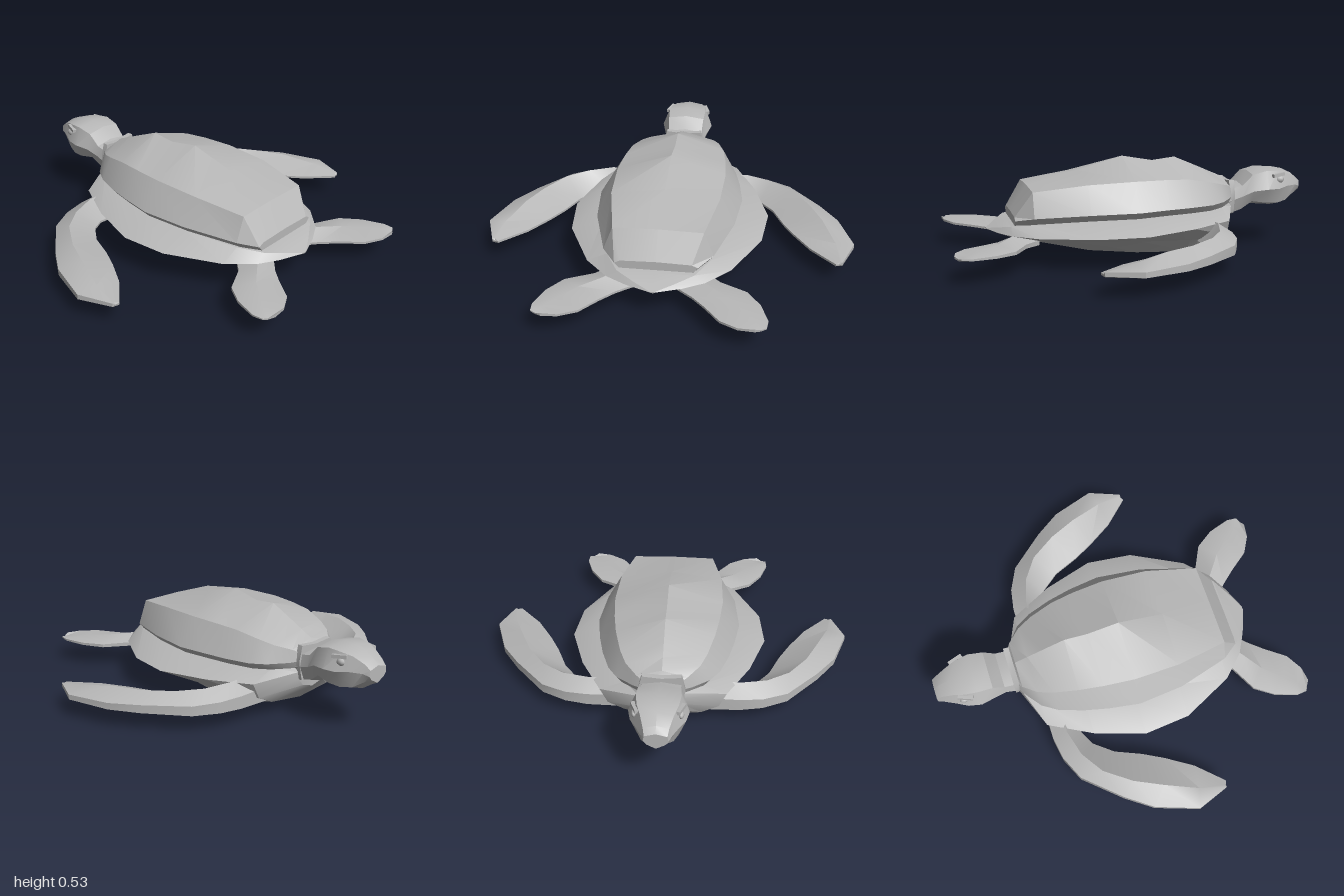
import * as THREE from 'three';
import { toCreasedNormals } from 'three/addons/utils/BufferGeometryUtils.js';

const skin = new THREE.MeshStandardMaterial({ color: 0xb8b8b8 });
skin.name = 'plain grey';

// Closed skin over a row of equal-length rings, with both ends capped.
function loft(name, rings, crease = 0.45) {
  const n = rings[0].length;
  const pos = rings.flat(2);
  const idx = [];
  for (let i = 0; i < rings.length - 1; i++) {
    for (let j = 0; j < n; j++) {
      const a = i * n + j, b = i * n + (j + 1) % n;
      idx.push(a, b, a + n, b, b + n, a + n);
    }
  }
  [0, rings.length - 1].forEach((r) => {
    const c = pos.length / 3;
    for (let k = 0; k < 3; k++) pos.push(rings[r].reduce((s, p) => s + p[k], 0) / n);
    for (let j = 0; j < n; j++) {
      const a = r * n + j, b = r * n + (j + 1) % n;
      if (r === 0) idx.push(b, a, c); else idx.push(a, b, c);
    }
  });
  // Turn the faces outward when the enclosed volume is negative.
  let volume = 0;
  const v = (i) => new THREE.Vector3().fromArray(pos, i * 3);
  for (let i = 0; i < idx.length; i += 3) volume += v(idx[i]).dot(v(idx[i + 1]).cross(v(idx[i + 2])));
  if (volume < 0) idx.reverse();
  const g = new THREE.BufferGeometry();
  g.setAttribute('position', new THREE.Float32BufferAttribute(pos, 3));
  g.setIndex(idx);
  const mesh = new THREE.Mesh(toCreasedNormals(g, crease), skin);
  mesh.name = name;
  return mesh;
}

// Full ring from the [x, y] points of one half, listed top to bottom.
function ring(z, half) {
  const other = half.filter((p) => p[0] > 0).reverse().map(([x, y]) => [-x, y]);
  return [...half, ...other].map(([x, y]) => [x, y, z]);
}

// Domed upper shell: z, spine y, ridge x, y, lip x, y
function carapace() {
  const rows = [
    [-0.575, 0.35, 0.09, 0.34, 0.11, 0.30],
    [-0.55, 0.395, 0.13, 0.36, 0.15, 0.295],
    [-0.48, 0.425, 0.19, 0.38, 0.24, 0.29],
    [-0.40, 0.46, 0.225, 0.40, 0.29, 0.285],
    [-0.27, 0.515, 0.26, 0.425, 0.335, 0.285],
    [-0.14, 0.50, 0.28, 0.43, 0.365, 0.285],
    [0.03, 0.53, 0.295, 0.43, 0.39, 0.28],
    [0.28, 0.46, 0.285, 0.42, 0.365, 0.275],
    [0.56, 0.39, 0.23, 0.385, 0.28, 0.255],
    [0.65, 0.255, 0.18, 0.25, 0.21, 0.235],
  ];
  return loft('upperShell', rows.map(([z, cy, rx, ry, lx, ly]) =>
    ring(z, [[0, cy], [rx, ry], [lx, ly], [lx - 0.03, ly - 0.035], [0, ly - 0.035]])));
}

// Flared rim and belly: z, inner x, y, rim x, y, flank x, y, keel x, y, bottom y
function lowerBody() {
  const rows = [
    [-0.57, 0.09, 0.27, 0.11, 0.24, 0.10, 0.20, 0.07, 0.16, 0.14],
    [-0.48, 0.20, 0.26, 0.33, 0.205, 0.29, 0.12, 0.20, 0.075, 0.05],
    [-0.25, 0.31, 0.25, 0.45, 0.195, 0.36, 0.12, 0.30, 0.045, 0.0],
    [0.02, 0.37, 0.245, 0.535, 0.185, 0.38, 0.13, 0.28, 0.05, 0.01],
    [0.27, 0.34, 0.24, 0.51, 0.18, 0.35, 0.13, 0.25, 0.07, 0.035],
    [0.55, 0.265, 0.22, 0.37, 0.17, 0.28, 0.145, 0.18, 0.12, 0.11],
    [0.67, 0.195, 0.205, 0.25, 0.165, 0.19, 0.15, 0.10, 0.14, 0.135],
    [0.73, 0.10, 0.185, 0.14, 0.163, 0.10, 0.155, 0.05, 0.15, 0.148],
    [0.78, 0.01, 0.167, 0.015, 0.165, 0.01, 0.163, 0.005, 0.16, 0.16],
  ];
  return loft('rimAndBelly', rows.map(([z, tx, ty, rx, ry, fx, fy, kx, ky, by]) =>
    ring(z, [[0, ty], [tx, ty], [rx, ry], [fx, fy], [kx, ky], [0, by]])));
}

// Neck and head: z, top y, crown half width, cheek half width, cheek y, bottom y
function head() {
  const rows = [
    [-0.48, 0.33, 0.10, 0.12, 0.25, 0.14],
    [-0.57, 0.35, 0.10, 0.115, 0.27, 0.17],
    [-0.64, 0.365, 0.10, 0.11, 0.29, 0.19],
    [-0.70, 0.425, 0.105, 0.13, 0.32, 0.235],
    [-0.78, 0.445, 0.11, 0.15, 0.33, 0.225],
    [-0.85, 0.44, 0.10, 0.135, 0.33, 0.22],
    [-0.91, 0.428, 0.08, 0.105, 0.34, 0.23],
    [-0.97, 0.40, 0.062, 0.075, 0.34, 0.27],
    [-1.0, 0.375, 0.055, 0.06, 0.33, 0.285],
  ];
  return loft('neckAndHead', rows.map(([z, ty, tw, cw, cy, by]) =>
    ring(z, [[0, ty], [tw, ty - 0.015], [cw, cy], [cw * 0.75, by + 0.025], [0, by]])));
}

// Flipper: leading x, z, ridge x, z, y, trailing x, z; thick = leading edge height
function flipper(name, side, rows, thick, base) {
  return loft(name, rows.map(([lx, lz, rx, rz, ry, tx, tz], i) => {
    const t = 1 - i / (rows.length - 1);
    const low = base + 0.02 * (1 - t);
    const h = thick * (0.25 + 0.75 * t);
    return [[lx, low + h, lz], [rx, ry, rz], [tx, low + 0.012, tz], [tx, low, tz],
      [rx, low - 0.008, rz], [lx, low, lz]].map(([x, y, z]) => [side * x, y, z]);
  }));
}

const FRONT = [
  [0.22, -0.47, 0.24, -0.38, 0.21, 0.25, -0.30],
  [0.40, -0.47, 0.40, -0.39, 0.21, 0.40, -0.31],
  [0.52, -0.45, 0.54, -0.35, 0.20, 0.48, -0.27],
  [0.65, -0.39, 0.66, -0.27, 0.195, 0.56, -0.17],
  [0.82, -0.20, 0.76, -0.13, 0.185, 0.62, -0.03],
  [0.92, -0.06, 0.83, 0.02, 0.18, 0.68, 0.08],
  [1.0, 0.17, 0.90, 0.20, 0.15, 0.77, 0.22],
  [0.935, 0.345, 0.92, 0.34, 0.125, 0.90, 0.355],
];
const REAR = [
  [0.24, 0.53, 0.18, 0.60, 0.175, 0.11, 0.67],
  [0.32, 0.61, 0.26, 0.68, 0.165, 0.19, 0.74],
  [0.46, 0.68, 0.37, 0.76, 0.155, 0.26, 0.82],
  [0.53, 0.78, 0.45, 0.85, 0.15, 0.34, 0.925],
  [0.57, 0.90, 0.51, 0.92, 0.14, 0.43, 0.975],
  [0.565, 0.955, 0.54, 0.965, 0.13, 0.51, 0.985],
];

export function createModel() {
  const turtle = new THREE.Group();
  turtle.name = 'seaTurtle';
  turtle.add(carapace(), lowerBody(), head());

  // Raised skin fold where the neck enters the shell
  turtle.add(loft('neckCollar', [-0.56, -0.59].map((z) =>
    ring(z, [[0, 0.375], [0.10, 0.385], [0.12, 0.30], [0.10, 0.20], [0, 0.17]]))));

  [1, -1].forEach((side) => {
    const label = side > 0 ? 'left' : 'right';
    turtle.add(flipper(label + 'FrontFlipper', side, FRONT, 0.075, 0.088));
    turtle.add(flipper(label + 'RearFlipper', side, REAR, 0.025, 0.11));

    // Heavy eyelid with the eye below it
    const lid = new THREE.Mesh(new THREE.BoxGeometry(0.025, 0.018, 0.08), skin);
    lid.name = label + 'Eyelid';
    lid.position.set(side * 0.108, 0.405, -0.85);
    lid.rotation.set(0.1, side * 0.35, 0);
    const eye = new THREE.Mesh(new THREE.SphereGeometry(0.025, 8, 6), skin);
    eye.name = label + 'Eye';
    eye.scale.set(0.6, 0.8, 1);
    eye.position.set(side * 0.112, 0.38, -0.86);
    turtle.add(lid, eye);
  });
  return turtle;
}
